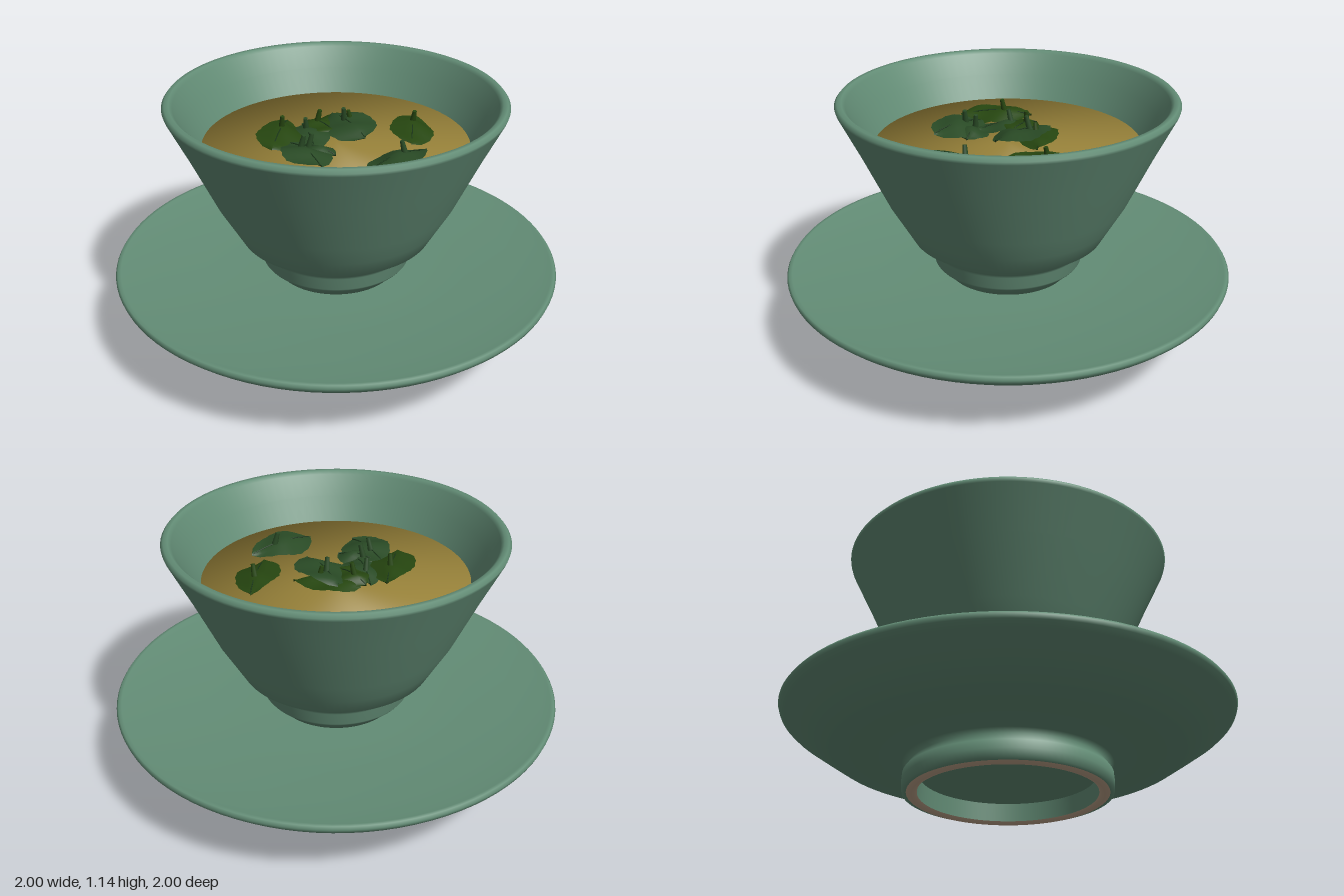
import * as THREE from 'three';

const mat = (name, color, side = THREE.FrontSide) => {
  const m = new THREE.MeshStandardMaterial({ color, side });
  m.name = name;
  return m;
};

// Surface of revolution; the profile runs up the outside and down the inside
function lathe(name, profile, material) {
  const pts = profile.map(([r, y]) => new THREE.Vector2(r, y));
  const mesh = new THREE.Mesh(new THREE.LatheGeometry(pts, 96), material);
  mesh.name = name;
  return mesh;
}

// Leaf blade: pointed oval with a toothed edge, folded along its midrib
function leafGeometry(length, width, seed) {
  const nu = 14, nv = 6;
  const g = new THREE.PlaneGeometry(1, 1, nu, nv);
  g.rotateX(-Math.PI / 2);
  const p = g.attributes.position;
  for (let i = 0; i < p.count; i++) {
    const u = p.getX(i) * 2, v = p.getZ(i) * 2;
    const col = i % (nu + 1);
    const tooth = 1 + (col % 2 ? 0.03 : -0.02) * Math.abs(v);
    const half = Math.pow(Math.max(0, 1 - u * u), 0.72) * (1 - 0.22 * u) * tooth;
    p.setXYZ(i,
      u * length / 2,
      0.024 * (1 - u * u) - 0.02 * Math.abs(v) * half + 0.006 * Math.sin(5 * u + seed + 2 * v),
      v * half * width / 2);
  }
  g.computeVertexNormals();
  return g;
}

export function createModel() {
  const glaze = mat('celadonGlaze', 0x638d76);
  const clay = mat('bareClay', 0xbfa48a);
  const tea = mat('tea', 0x99833a);
  const darkLeaf = mat('darkLeaf', 0x294a25, THREE.DoubleSide);
  const oliveLeaf = mat('oliveLeaf', 0x264610, THREE.DoubleSide);
  const vein = mat('leafVein', 0x1d3a1c);

  const model = new THREE.Group();
  model.name = 'teaBowlOnSaucer';

  // Dished saucer with raised foot ring
  const saucer = new THREE.Group();
  saucer.name = 'saucer';
  saucer.add(
    lathe('saucerBody', [
      [0.436, 0.008], [0.456, 0.012], [0.459, 0.05], [0.456, 0.088], [0.43, 0.124], [0.46, 0.138],
      [0.56, 0.162], [0.67, 0.172], [0.78, 0.184], [0.875, 0.248], [0.97, 0.314], [0.992, 0.335],
      [0.998, 0.352], [0.99, 0.364], [0.975, 0.364], [0.94, 0.355],
      [0.8, 0.339], [0.6, 0.321], [0.4, 0.31], [0, 0.308],
    ], glaze),
    lathe('footRingEdge', [[0.39, 0.012], [0.398, 0.003], [0.413, 0], [0.428, 0.002], [0.438, 0.009]], clay),
    lathe('footRingInside', [[0.385, 0.092], [0.39, 0.01]], glaze),
    lathe('saucerUnderside', [[0, 0.092], [0.385, 0.092]], glaze),
  );
  model.add(saucer);

  // Flared bowl with a rounded lip and a tucked foot, hollow down to the floor
  model.add(lathe('bowl', [
    [0, 0.306], [0.27, 0.306], [0.29, 0.342], [0.324, 0.36], [0.333, 0.372], [0.343, 0.43],
    [0.352, 0.446], [0.43, 0.5], [0.478, 0.585], [0.535, 0.685], [0.645, 0.925], [0.734, 1.108],
    [0.738, 1.122], [0.726, 1.136], [0.707, 1.136], [0.692, 1.122], [0.647, 1.03], [0.592, 0.92],
    [0.53, 0.79], [0.45, 0.63], [0.36, 0.53], [0.2, 0.49], [0, 0.485],
  ], glaze));

  // Body of tea; normals roll over softly at its edge
  model.add(lathe('tea', [[0.38, 0.5], [0.583, 0.925], [0, 0.925]], tea));

  // Floating leaves: x, z, lift, heading, length, width, tilt, material
  const leaves = new THREE.Group();
  leaves.name = 'leaves';
  [
    [-0.18, -0.165, 0.04, 0.6, 0.32, 0.19, 0.12, oliveLeaf],
    [-0.08, -0.09, 0.025, 1.0, 0.26, 0.18, -0.1, darkLeaf],
    [-0.235, 0.04, 0.03, 1.3, 0.28, 0.21, 0.15, darkLeaf],
    [-0.165, 0.03, 0.018, 1.9, 0.2, 0.14, 0.1, darkLeaf],
    [0.08, 0.0, 0.05, 1.25, 0.3, 0.22, -0.15, darkLeaf],
    [0.11, -0.06, 0.025, -0.95, 0.29, 0.19, 0.1, oliveLeaf],
    [0.01, -0.1, 0.035, 1.5, 0.2, 0.16, 0.1, oliveLeaf],
    [0.285, 0.19, 0.025, 0.68, 0.32, 0.19, 0.15, oliveLeaf],
    [0.0, 0.355, 0.025, -0.12, 0.32, 0.19, -0.15, darkLeaf],
  ].forEach(([x, z, lift, heading, length, width, tilt, material], i) => {
    const leaf = new THREE.Group();
    leaf.name = 'leaf' + (i + 1);
    const blade = new THREE.Mesh(leafGeometry(length, width, i), material);
    blade.name = 'leafBlade';

    // Midrib following the arched fold
    const rib = new THREE.QuadraticBezierCurve3(
      new THREE.Vector3(-length * 0.48, 0, 0),
      new THREE.Vector3(0, 0.048, 0),
      new THREE.Vector3(length * 0.48, 0, 0));
    const midrib = new THREE.Mesh(new THREE.TubeGeometry(rib, 10, 0.0025, 5), vein);
    midrib.name = 'midrib';

    // Short upright stalk
    const stalk = new THREE.Mesh(new THREE.CylinderGeometry(0.009, 0.014, 0.06, 8), material);
    stalk.name = 'stalk';
    stalk.position.set(length * 0.1, 0.045, 0);
    stalk.rotation.z = 0.2;

    leaf.add(blade, midrib, stalk);
    leaf.position.set(x, 0.925 + lift, z);
    leaf.rotation.set(tilt, heading, 0, 'YXZ');
    leaves.add(leaf);
  });
  model.add(leaves);

  return model;
}
